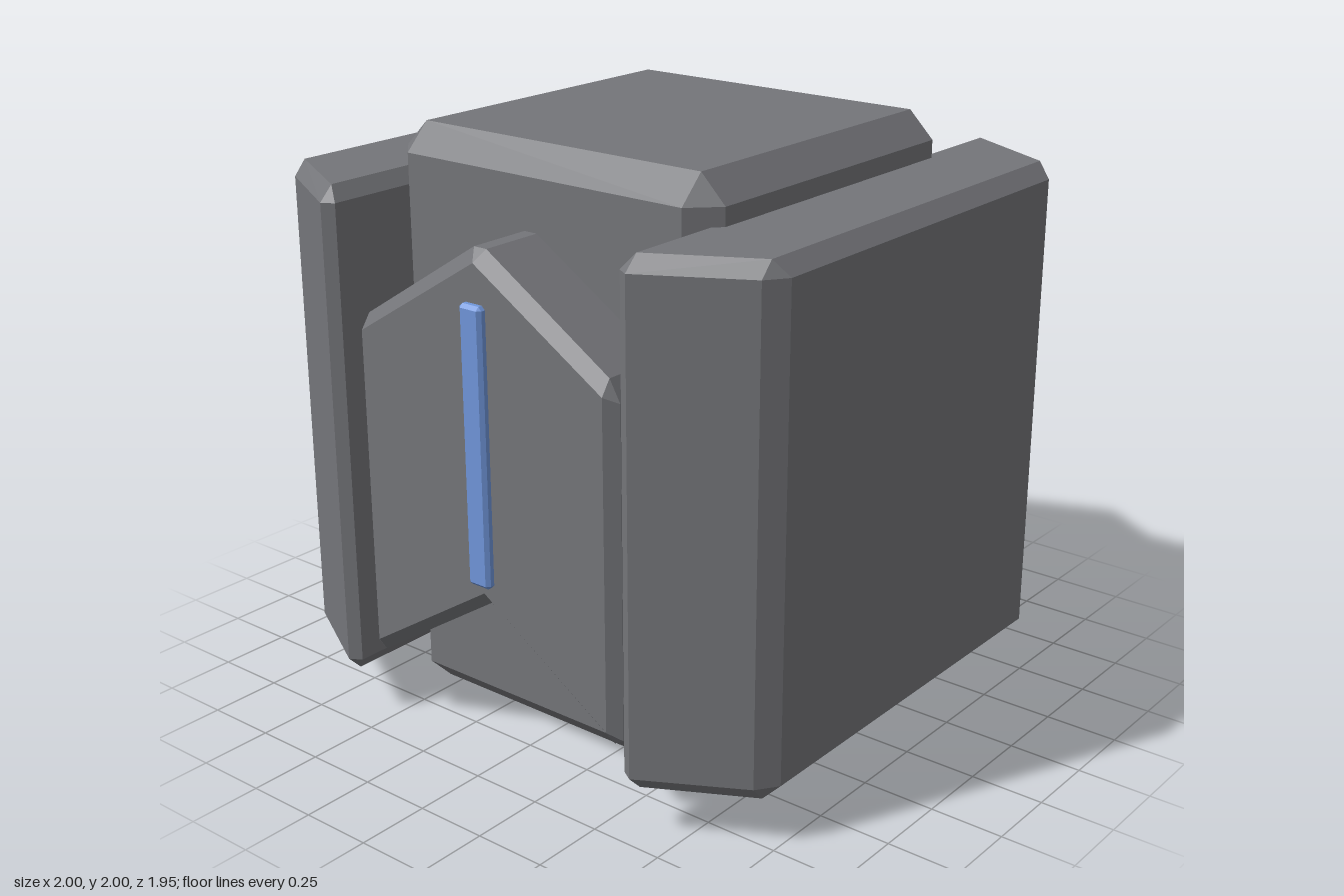
import * as THREE from 'three';
import { ConvexGeometry } from 'three/addons/geometries/ConvexGeometry.js';

const gray = new THREE.MeshStandardMaterial({ color: 0x747579 });
gray.name = 'stone gray';
const blue = new THREE.MeshStandardMaterial({ color: 0x7096da });
blue.name = 'glow blue';

function named(geometry, material, name) {
  const mesh = new THREE.Mesh(geometry, material);
  mesh.name = name;
  return mesh;
}

// Box with every edge and corner cut by c
function chamferBox(w, h, d, c) {
  const points = [];
  for (const sx of [-1, 1]) for (const sy of [-1, 1]) for (const sz of [-1, 1]) {
    const x = w / 2, y = h / 2, z = d / 2;
    points.push(
      new THREE.Vector3(sx * x, sy * (y - c), sz * (z - c)),
      new THREE.Vector3(sx * (x - c), sy * y, sz * (z - c)),
      new THREE.Vector3(sx * (x - c), sy * (y - c), sz * z));
  }
  return new ConvexGeometry(points);
}

// Trapezoid side armour with cut edges; side is +1 or -1
function sideSlab(side) {
  const rim = [[0.58, 0.95], [0.62, 0.975], [0.95, 0.79], [1, 0.72]];
  const cap = [[0.62, 0.925], [0.95, 0.745]];
  const points = [];
  const ring = (list, y) => {
    for (const [x, z] of list) for (const s of [-1, 1]) points.push(new THREE.Vector3(side * x, y, s * z));
  };
  ring(cap, 0.16);
  ring(rim, 0.21);
  ring(rim, 1.8);
  ring(cap, 1.85);
  return new ConvexGeometry(points);
}

// Chevron plate lofted from an inner and an outer outline (clockwise from the peak)
function chevronPlate(back, front, bevel) {
  const outerHalf = [[0.025, 1.75], [0.5, 1.45], [0.54, 1.38], [0.54, 0.28], [0.505, 0.26]];
  const innerHalf = [[0, 1.71], [0.5, 1.4], [0.5, 1.4], [0.5, 0.31], [0.5, 0.31]];
  const mirror = (half) => half.map(([x, y]) => [-x, y]).reverse();
  const outer = [...outerHalf, [0, 0.585], ...mirror(outerHalf)];
  const inner = [...innerHalf, [0, 0.63], ...mirror(innerHalf)];
  const rings = [[inner, back], [outer, back + bevel], [outer, front - bevel], [inner, front]]
    .map(([list, z]) => list.map(([x, y]) => new THREE.Vector3(x, y, z)));

  const pos = [];
  const tri = (a, b, c) => {
    const area = b.clone().sub(a).cross(c.clone().sub(a)).length();
    if (area > 1e-7) for (const v of [a, b, c]) pos.push(v.x, v.y, v.z);
  };
  for (let r = 0; r < 3; r++) {
    const lo = rings[r], hi = rings[r + 1];
    for (let i = 0; i < lo.length; i++) {
      const j = (i + 1) % lo.length;
      tri(lo[i], hi[i], hi[j]);
      tri(lo[i], hi[j], lo[j]);
    }
  }
  // Front and back caps, fanned from the notch point, which sees every corner
  const n = inner.length, notch = 5;
  for (let k = 1; k < n - 1; k++) {
    const i = (notch + k) % n, j = (notch + k + 1) % n;
    tri(rings[3][notch], rings[3][j], rings[3][i]);
    tri(rings[0][notch], rings[0][i], rings[0][j]);
  }
  const geometry = new THREE.BufferGeometry();
  geometry.setAttribute('position', new THREE.Float32BufferAttribute(pos, 3));
  geometry.computeVertexNormals();
  return geometry;
}

export function createModel() {
  const model = new THREE.Group();
  model.name = 'armouredBlock';

  // Central block
  const core = named(chamferBox(1.3, 2, 1.3, 0.09), gray, 'core');
  core.position.y = 1;
  model.add(core);

  // Side armour
  model.add(named(sideSlab(1), gray, 'leftSlab'), named(sideSlab(-1), gray, 'rightSlab'));

  // Chevron plates, front and back
  const plate = chevronPlate(0.65, 0.94, 0.035);
  const backPlate = named(plate, gray, 'backPlate');
  backPlate.rotation.y = Math.PI;
  model.add(named(plate, gray, 'frontPlate'), backPlate);

  // Light strip on the front plate
  const strip = named(chamferBox(0.09, 0.925, 0.07, 0.012), blue, 'lightStrip');
  strip.position.set(0, 1.122, 0.932);
  model.add(strip);

  return model;
}
